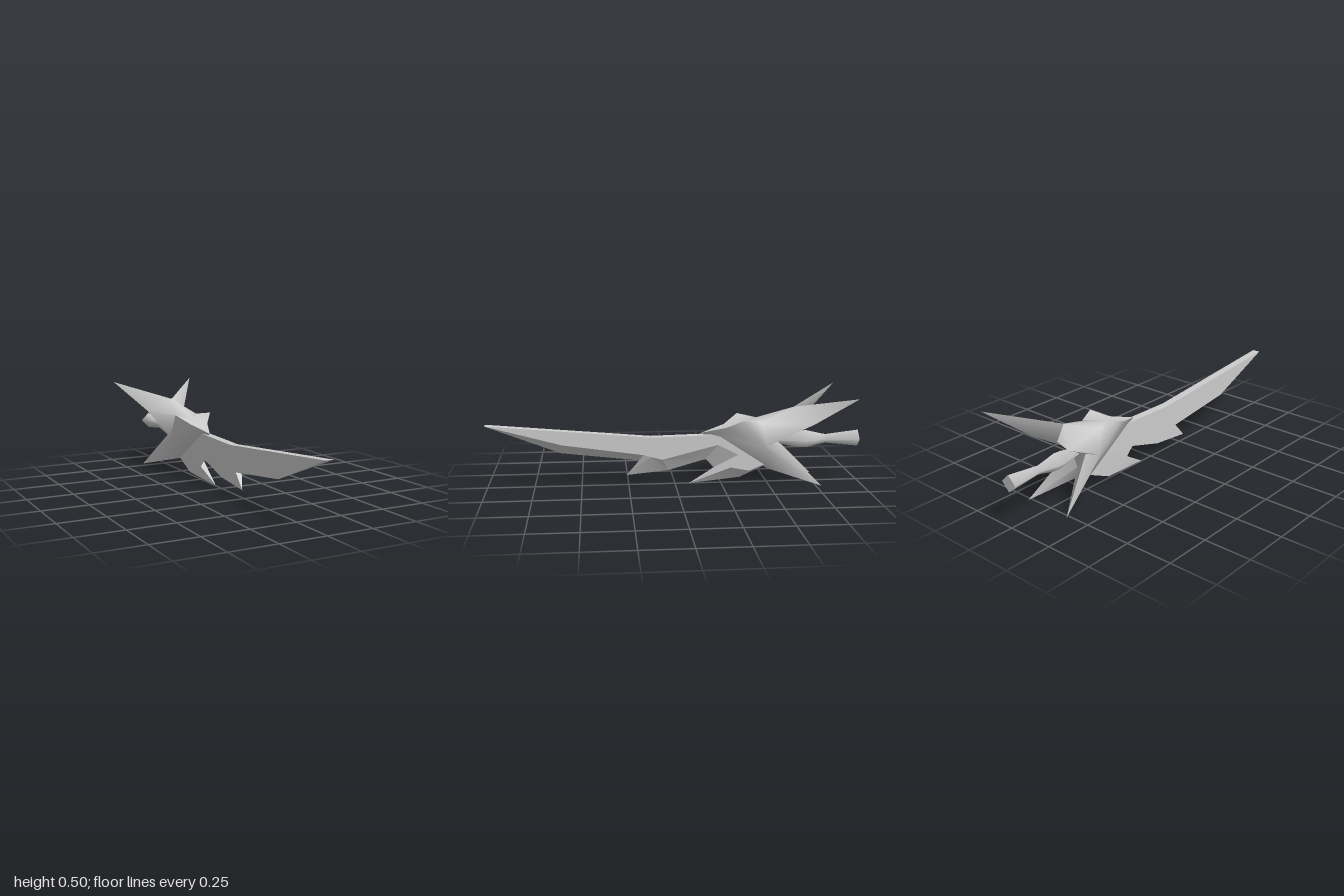
import * as THREE from 'three';
import { toCreasedNormals } from 'three/addons/utils/BufferGeometryUtils.js';

const steel = new THREE.MeshStandardMaterial({ color: 0xcccccc });
steel.name = 'light grey steel';

function meshFrom(name, triangles, crease) {
  const g = new THREE.BufferGeometry();
  g.setAttribute('position', new THREE.Float32BufferAttribute(triangles.flat(2), 3));
  const mesh = new THREE.Mesh(toCreasedNormals(g, crease), steel);
  mesh.name = name;
  return mesh;
}

// Single-bevelled blade: [z, y] of the cutting outline, then of the matching ridge
function makeBlade() {
  const left = 0.026, right = -0.018;
  const back = [[-0.5, 0.2], [-0.2, 0.272], [0.13, 0.265]];
  const edge = [[1, 0.343], [0.61, 0.18], [0.19, 0.13], [0.26, 0.05], [0.035, 0.072],
    [-0.17, 0.13], [-0.215, 0.083], [-0.075, 0.002], [-0.355, 0.024], [-0.51, 0.094], ...back];
  const ridge = [[1, 0.343], [0.6, 0.233], [0.17, 0.17], [0.13, 0.158], [0.07, 0.142],
    [-0.23, 0.217], [-0.34, 0.16], [-0.3, 0.09], [-0.4, 0.07], [-0.51, 0.115], ...back];
  const o = edge.map(([z, y], i) => [i === 7 ? 0.003 : right, y, z]);
  const r = ridge.map(([z, y]) => [left, y, z]);
  const tris = [];
  // Bevel and spine
  o.forEach((p, i) => {
    const j = (i + 1) % o.length;
    tris.push([p, o[j], r[i]], [o[j], r[j], r[i]]);
  });
  // Flat sides, each turned outward
  const cap = (pts, side) => {
    const flat = pts.map(([, y, z]) => new THREE.Vector2(z, y));
    for (const [a, b, c] of THREE.ShapeUtils.triangulateShape(flat, [])) {
      const area = (flat[b].x - flat[a].x) * (flat[c].y - flat[a].y)
        - (flat[b].y - flat[a].y) * (flat[c].x - flat[a].x);
      tris.push(area * side < 0 ? [pts[a], pts[b], pts[c]] : [pts[a], pts[c], pts[b]]);
    }
  };
  cap(o, -1);
  cap(r, 1);
  return meshFrom('blade', tris, 0.3);
}

// Winged guard: one half from named corners, then mirrored
function makeGuard() {
  const v = {
    nose: [0, 0.28, -0.14], neck: [0.05, 0.315, -0.27], shoulder: [0.108, 0.362, -0.35],
    valley: [0, 0.325, -0.33], root: [0.068, 0.345, -0.45], crest: [0, 0.413, -0.64],
    upperTip: [0.256, 0.498, -0.925], upperHeel: [0.122, 0.34, -0.73],
    waist: [0.083, 0.215, -0.48], notch: [0.05, 0.235, -0.55],
    backTop: [0, 0.3, -0.6], backLow: [0, 0.15, -0.56],
    lowerTip: [0.134, 0.007, -0.775], keel: [0.02, 0.08, -0.5], keelMid: [0, 0.085, -0.5],
  };
  const faces = [
    // crown
    'nose neck valley', 'neck shoulder valley', 'shoulder root valley', 'valley root crest',
    // cheek
    'nose waist neck', 'neck waist shoulder', 'nose keel waist', 'nose keelMid keel',
    // upper wing
    'root upperHeel crest', 'shoulder waist root', 'root waist upperHeel',
    'upperHeel upperTip crest', 'crest upperTip backTop', 'upperTip upperHeel backTop',
    'upperHeel waist notch', 'upperHeel notch backTop',
    // lower wing and back
    'waist keel lowerTip', 'waist lowerTip notch', 'notch lowerTip backLow',
    'lowerTip keel backLow', 'keel keelMid backLow', 'notch backLow backTop',
  ];
  const half = faces.map(f => f.split(' ').map(n => v[n]));
  const other = half.map(t => t.map(([x, y, z]) => [-x, y, z]).reverse());
  return meshFrom('wingedGuard', [...half, ...other], 1.4);
}

// Smooth diamond-section grip along z, with a flat end
function makeGrip() {
  const profile = [[0.045, -1], [0.024, -0.82], [0.03, -0.79],
    [0.048, -0.715], [0.046, -0.67], [0.02, -0.55], [0, -0.52]]
    .map(([r, z]) => new THREE.Vector2(r, z));
  const shaft = new THREE.Mesh(new THREE.LatheGeometry(profile, 4).rotateX(Math.PI / 2), steel);
  shaft.name = 'gripShaft';
  const end = new THREE.Mesh(new THREE.CircleGeometry(0.045, 4).rotateY(Math.PI), steel);
  end.name = 'gripEnd';
  end.position.z = -1;
  const grip = new THREE.Group();
  grip.name = 'grip';
  grip.position.y = 0.235;
  grip.add(shaft, end);
  return grip;
}

export function createModel() {
  const model = new THREE.Group();
  model.name = 'wingedSword';
  model.add(makeBlade(), makeGuard(), makeGrip());
  return model;
}
